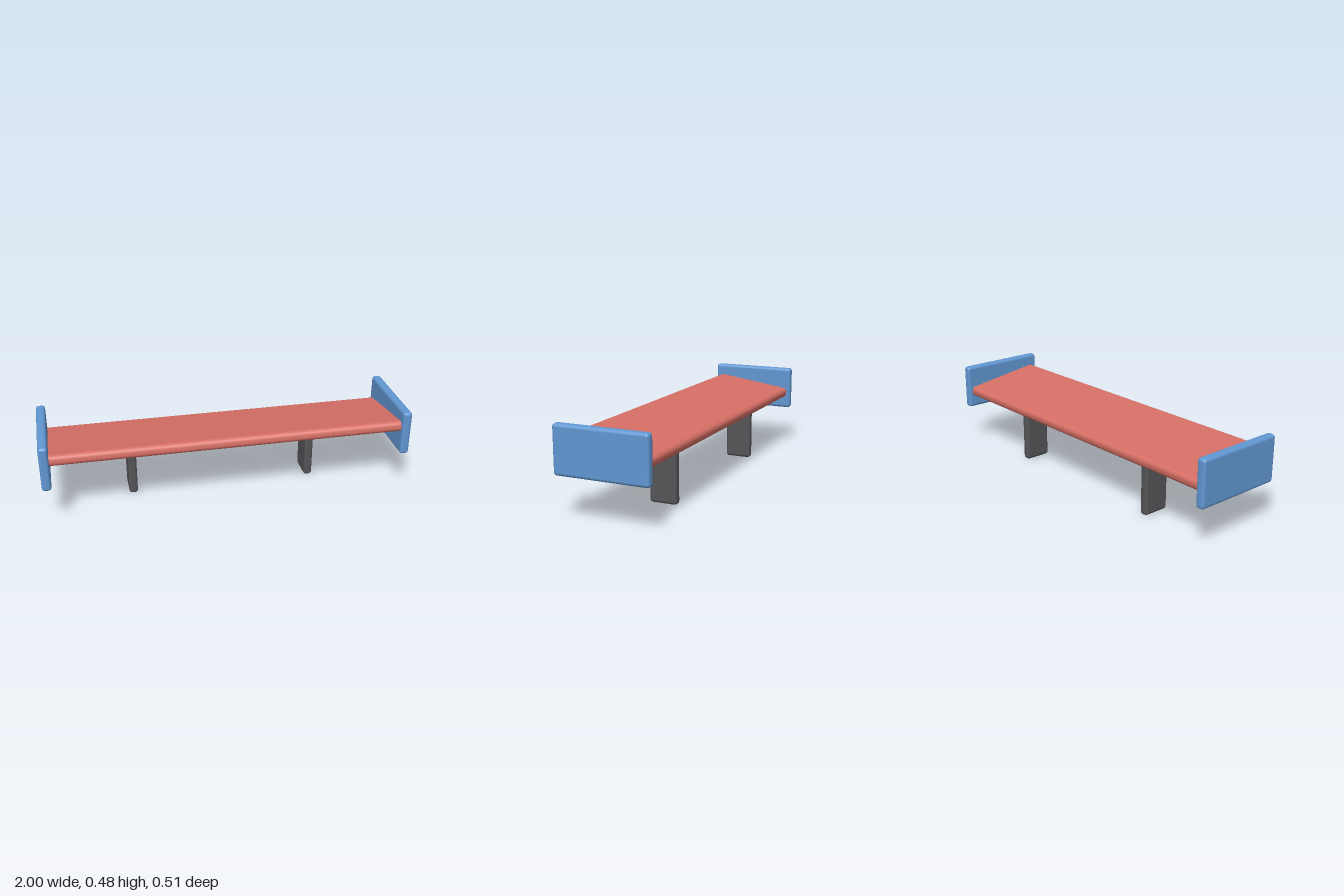
import * as THREE from 'three';
import { RoundedBoxGeometry } from 'three/addons/geometries/RoundedBoxGeometry.js';

const material = (name, color) => {
  const m = new THREE.MeshStandardMaterial({ color });
  m.name = name;
  return m;
};

// Soft-edged board: size, corner radius, centre position
function board(name, mat, [w, h, d], radius, [x, y, z]) {
  const mesh = new THREE.Mesh(new RoundedBoxGeometry(w, h, d, 4, radius), mat);
  mesh.name = name;
  mesh.position.set(x, y, z);
  return mesh;
}

export function createModel() {
  const group = new THREE.Group();
  group.name = 'rearWing';
  const red = material('coralRed', 0xd66f65);
  const blue = material('skyBlue', 0x6197d2);
  const grey = material('darkGrey', 0x555558);

  // Wing blade, tilted down towards the back; its ends sit inside the end plates
  const blade = board('wingBlade', red, [1.95, 0.06, 0.468], 0.026, [0, 0.36, 0]);
  blade.rotation.x = -0.145;
  group.add(blade);

  // Mirrored end plates and support posts
  for (const [side, s] of [['left', 1], ['right', -1]]) {
    group.add(board(`${side}EndPlate`, blue, [0.05, 0.253, 0.508], 0.017, [s * 0.975, 0.358, 0]));
    group.add(board(`${side}Post`, grey, [0.048, 0.328, 0.152], 0.017, [s * 0.508, 0.164, -0.085]));
  }
  return group;
}
